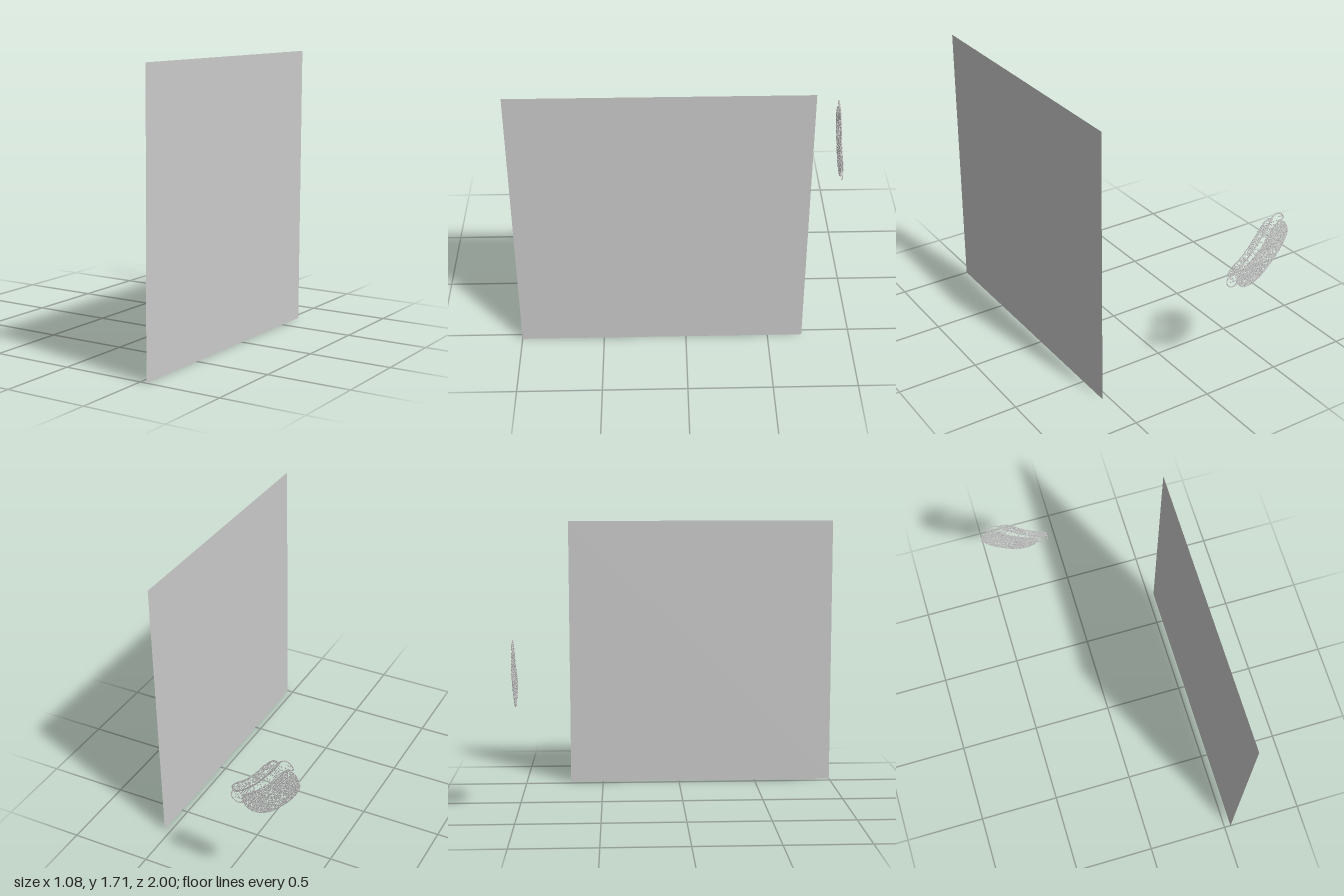
import * as THREE from 'three';
import { mergeGeometries } from 'three/addons/utils/BufferGeometryUtils.js';

const PANEL_X = 0.54, THICKNESS = 0.004, DRAWING_Z = -1 + THICKNESS / 2;
const material = new THREE.MeshStandardMaterial({ color: 0xcccccc, side: THREE.DoubleSide });

// Outlines of the thin stippled drawing (x, y)
const frontBun = [[-.5, 1], [-.455, 1.005], [-.423, .966], [-.355, .871], [-.287, .808], [-.196, .744],
  [-.185, .704], [-.215, .663], [-.26, .653], [-.332, .676], [-.423, .753], [-.5, .848], [-.533, .93]];
const sausage = [[-.496, 1.025], [-.478, 1.058], [-.446, 1.068], [-.414, 1.05], [-.39, 1], [-.335, .93],
  [-.26, .842], [-.183, .776], [-.122, .753], [-.112, .713], [-.142, .684], [-.183, .692], [-.185, .735],
  [-.28, .812], [-.348, .876], [-.416, .971], [-.462, 1.01]];
const backBun = [[-.41, 1.04], [-.382, 1.05], [-.332, 1.007], [-.273, .93], [-.205, .857], [-.137, .808],
  [-.117, .776], [-.135, .752], [-.183, .78], [-.26, .846], [-.335, .934], [-.39, 1.006]];

function seeded(seed) {
  return () => (seed = (seed * 16807) % 2147483647) / 2147483647;
}

function inside(p, poly) {
  let hit = false;
  for (let i = 0, j = poly.length - 1; i < poly.length; j = i++) {
    const a = poly[i], b = poly[j];
    if ((a.y > p.y) !== (b.y > p.y) && p.x < (b.x - a.x) * (p.y - a.y) / (b.y - a.y) + a.x) hit = !hit;
  }
  return hit;
}

// A region drawn as an outline of small thin discs filled with a loose halftone grid
function stipple(name, points, pitch, radius, density, seed) {
  const random = seeded(seed);
  const curve = new THREE.CatmullRomCurve3(points.map(([x, y]) => new THREE.Vector3(x, y, 0)), true);
  const outline = curve.getSpacedPoints(Math.round(curve.getLength() / 0.0085));
  const dots = [];
  const dot = (x, y, r) => dots.push(
    new THREE.CylinderGeometry(r, r, THICKNESS, 6).rotateX(Math.PI / 2).translate(x, y, DRAWING_Z));

  outline.slice(1).forEach((p) => dot(p.x, p.y, 0.0038));

  const box = new THREE.Box3().setFromPoints(outline);
  let row = 0;
  for (let y = box.min.y; y < box.max.y; y += pitch * 0.87, row++) {
    for (let x = box.min.x + (row % 2) * pitch / 2; x < box.max.x; x += pitch) {
      const p = new THREE.Vector3(x + (random() - 0.5) * 0.004, y + (random() - 0.5) * 0.004, 0);
      if (random() < density && inside(p, outline)) dot(p.x, p.y, radius);
    }
  }
  const mesh = new THREE.Mesh(mergeGeometries(dots), material);
  mesh.name = name;
  return mesh;
}

export function createModel() {
  const model = new THREE.Group();
  model.name = 'panelAndDrawing';

  // Large upright sheet facing sideways
  const panel = new THREE.Mesh(new THREE.PlaneGeometry(1.71, 1.71), material);
  panel.name = 'panel';
  panel.rotation.y = Math.PI / 2;
  panel.position.set(PANEL_X, 0.855, 0.145);
  model.add(panel);

  // Thin hot dog drawing facing the front
  const drawing = new THREE.Group();
  drawing.name = 'hotDogDrawing';
  drawing.add(
    stipple('frontBun', frontBun, 0.0105, 0.0046, 0.95, 11),
    stipple('sausage', sausage, 0.0125, 0.0042, 0.42, 23),
    stipple('backBun', backBun, 0.011, 0.0044, 0.85, 37),
  );
  model.add(drawing);
  return model;
}
